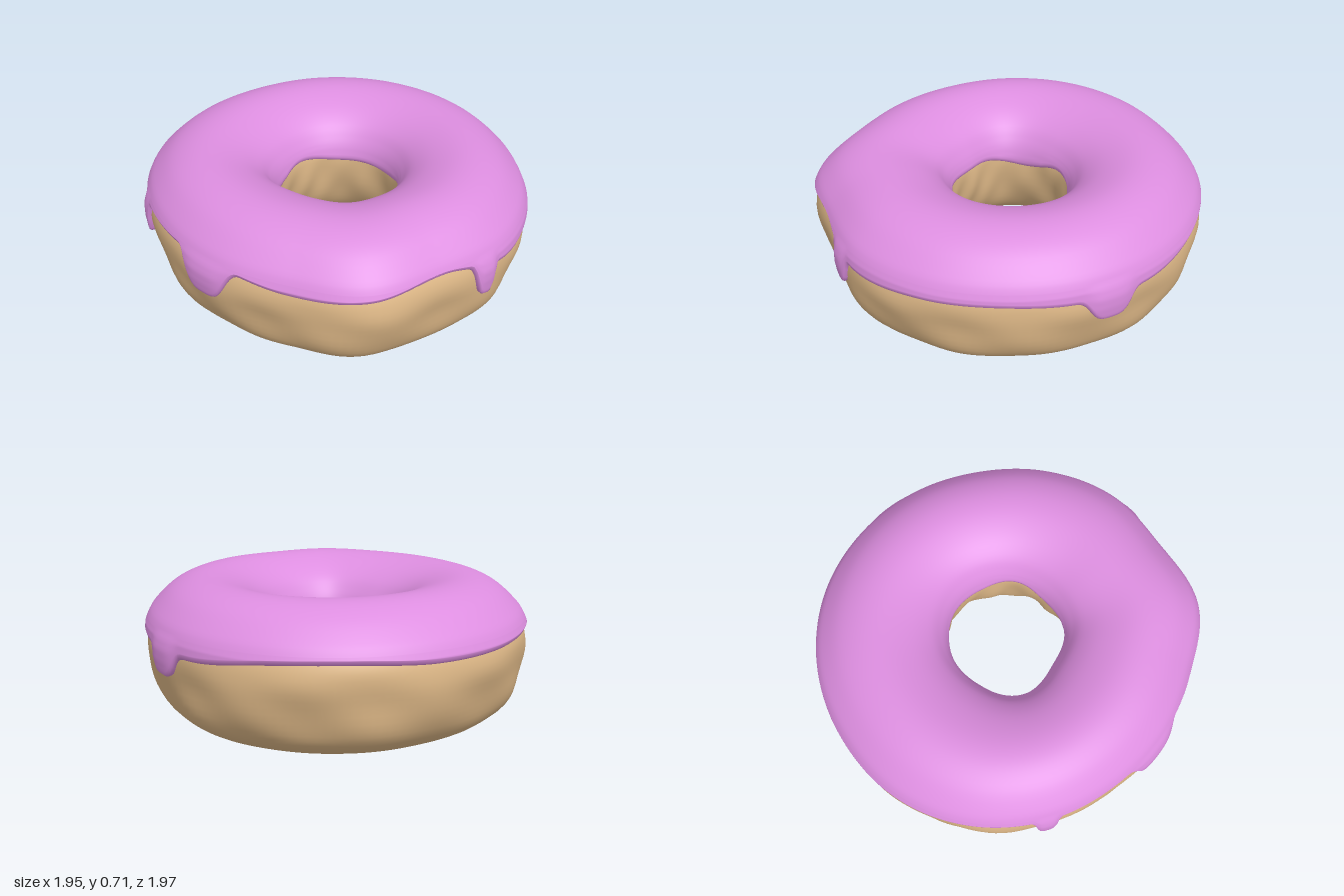
import * as THREE from 'three';

// Radii and icing edge heights sampled evenly round the ring, from +x towards +z
const OUTER = [.965, .975, .978, .948, .99, .932, .93, .937, .965, .993, 1, .99, .995, .993, .985, .975];
const HOLE = [.31, .285, .28, .255, .305, .29, .31, .325];
const EDGE = [.455, .45, .44, .505, .48, .47, .5, .49, .48, .48, .47, .47, .49, .48, .44, .44];
// Drips: angle, half width (degrees), depth
const DRIPS = [[53, 3.4, .15], [140, 8.2, .17], [180, 3, .18], [-30, 6.5, .11]];

// Smooth periodic lookup
function around(values, angle) {
  const n = values.length;
  const t = ((angle / (2 * Math.PI)) % 1 + 1) % 1 * n;
  const i = Math.floor(t), f = t - i;
  const [a, b, c, d] = [-1, 0, 1, 2].map((o) => values[(i + o + n) % n]);
  return b + 0.5 * f * (c - a + f * (2 * a - 5 * b + 4 * c - d + f * (3 * (b - c) + d - a)));
}

const spline = (pts, n) =>
  new THREE.SplineCurve(pts.map(([k, y]) => new THREE.Vector2(k, y))).getPoints(n).map((p) => [p.x, p.y]);

// Position across the ring (0 = hole, 1 = outside) at a height, on a rising wall
function wallAt(wall, y) {
  for (let i = 1; i < wall.length; i++) {
    const [k0, y0] = wall[i - 1], [k1, y1] = wall[i];
    if (y <= y1) return THREE.MathUtils.lerp(k0, k1, (y - y0) / (y1 - y0));
  }
  return wall[wall.length - 1][0];
}

// Sweeps a closed cross-section of [k, y] points round the ring
function sweepRing(section, segments, color, name) {
  const positions = [], index = [];
  let m = 0;
  for (let i = 0; i < segments; i++) {
    const a = (i / segments) * 2 * Math.PI;
    const hole = around(HOLE, a), outer = around(OUTER, a);
    const pts = section(a);
    m = pts.length;
    for (const [k, y] of pts) {
      const r = hole + k * (outer - hole);
      positions.push(r * Math.cos(a), y, r * Math.sin(a));
    }
    const next = (i + 1) % segments;
    for (let j = 0; j < m; j++) {
      const up = (j + 1) % m;
      const p = i * m + j, q = i * m + up, s = next * m + j, t = next * m + up;
      index.push(p, q, s, q, t, s);
    }
  }
  const geometry = new THREE.BufferGeometry();
  geometry.setAttribute('position', new THREE.Float32BufferAttribute(positions, 3));
  geometry.setIndex(index);
  geometry.computeVertexNormals();
  const mesh = new THREE.Mesh(geometry, new THREE.MeshStandardMaterial({ color }));
  mesh.name = name;
  return mesh;
}

// Dough cross-section: up the outside, over the top, down the flared hole
const DOUGH = spline([
  [.57, 0], [.71, .025], [.85, .095], [.92, .18], [.96, .29], [.985, .39], [.965, .48], [.89, .56],
  [.75, .64], [.5, .68], [.3, .65], [.15, .58], [.06, .5], [.03, .42], [.05, .28], [.11, .15],
  [.2, .055], [.3, .005], [.42, 0],
], 54);

// Slight unevenness on the lower sides
function doughSection(a) {
  return DOUGH.map(([k, y]) => {
    const low = Math.sin(Math.PI * THREE.MathUtils.clamp(y / .45, 0, 1));
    const bump = .012 * Math.sin(7 * a + 9 * y) + .008 * Math.sin(13 * a - 14 * y);
    return [k + (k > .5 ? 1 : -1) * low * bump, y];
  });
}

// Icing walls and the rounded top between them
const ICING_OUT = [[.95, .2], [.99, .3], [1.006, .4], [1.004, .46], [.995, .5], [.975, .53]];
const ICING_IN = [[.01, .3], [0, .4], [0, .45], [.02, .5], [.04, .53]];
const ICING_TOP = spline([
  [.975, .53], [.93, .575], [.8, .655], [.66, .7], [.52, .714], [.38, .7], [.23, .66], [.11, .6], [.04, .53],
], 30).slice(1, -1);

function icingSection(a) {
  let edge = around(EDGE, a), bulge = 0;
  for (const [angle, width, depth] of DRIPS) {
    const d = THREE.MathUtils.euclideanModulo(a * 180 / Math.PI - angle + 180, 360) - 180;
    const fall = Math.exp(-((d / width) ** 4));
    edge -= depth * fall;
    bulge += .022 * fall;
  }
  const inner = .43 + .02 * Math.sin(3 * a + 1) + .01 * Math.sin(5 * a);
  const out = (y) => wallAt(ICING_OUT, y) + bulge * THREE.MathUtils.clamp((.53 - y) / .08, 0, 1);
  const into = (y) => wallAt(ICING_IN, y);
  const pts = [];
  // Rolled outer lip
  const ko = out(edge + .03);
  pts.push([ko - .1, edge + .03], [ko - .05, edge + .003], [ko - .022, edge], [ko - .006, edge + .009]);
  for (let i = 0; i <= 12; i++) {
    const y = THREE.MathUtils.lerp(edge + .025, .53, i / 12);
    pts.push([out(y), y]);
  }
  pts.push(...ICING_TOP);
  for (let i = 0; i <= 6; i++) {
    const y = THREE.MathUtils.lerp(.53, inner + .025, i / 6);
    pts.push([into(y), y]);
  }
  // Rolled inner lip
  const ki = into(inner + .025);
  pts.push([ki + .006, inner + .009], [ki + .022, inner], [ki + .05, inner + .003], [ki + .1, inner + .03]);
  // Hidden underside following the dough
  pts.push([.2, .58], [.5, .64], [.75, .6]);
  return pts;
}

export function createModel() {
  const group = new THREE.Group();
  group.name = 'doughnut';
  group.add(sweepRing(doughSection, 144, 0xdeb887, 'dough'));
  group.add(sweepRing(icingSection, 400, 0xdd8ee0, 'icing'));
  return group;
}
